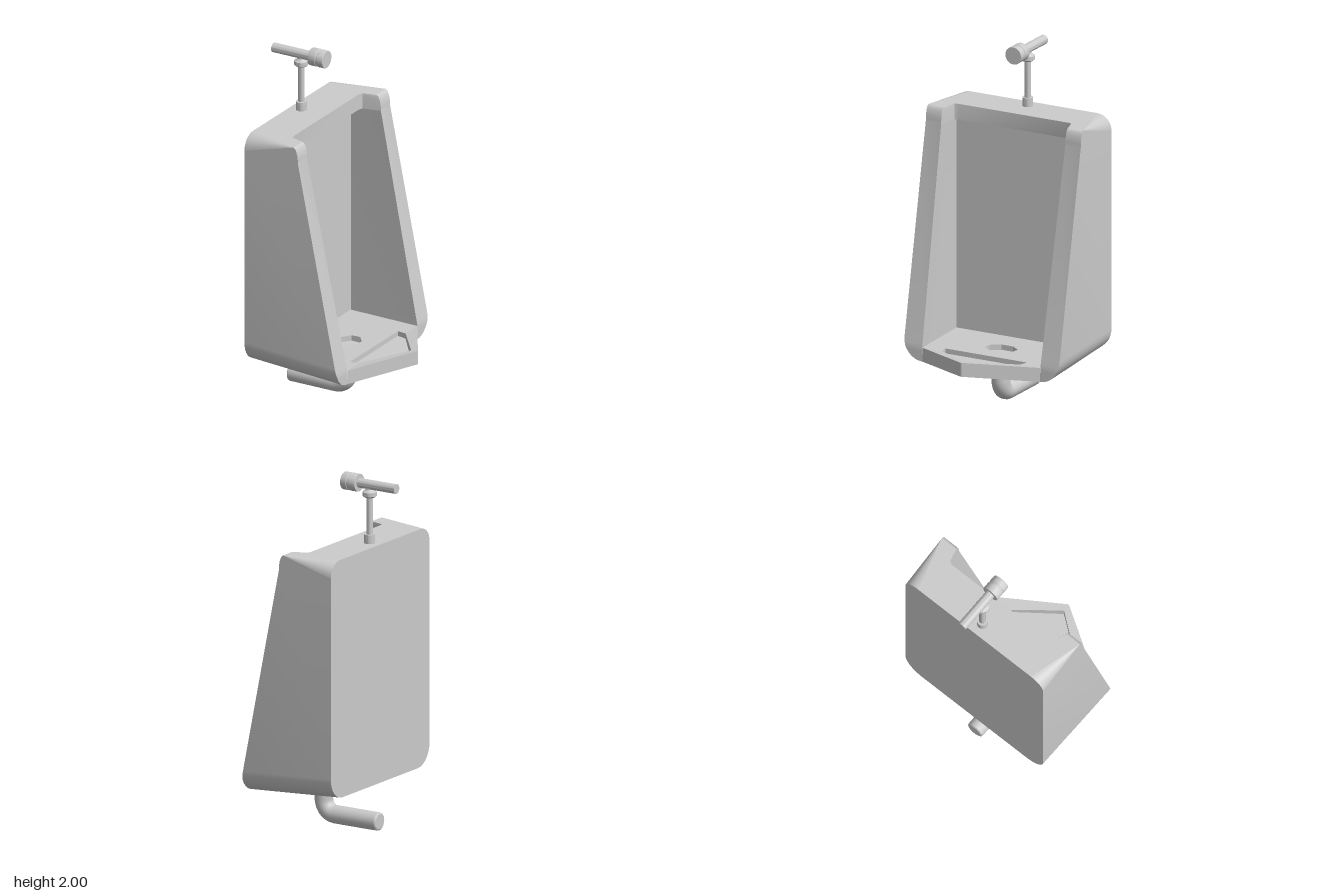
import * as THREE from 'three';
import { toCreasedNormals } from 'three/addons/utils/BufferGeometryUtils.js';

const grey = new THREE.MeshStandardMaterial({ color: 0xcccccc });
const shellGrey = new THREE.MeshStandardMaterial({ color: 0xcccccc, side: THREE.DoubleSide });

function add(group, name, geometry, material = grey) {
  const mesh = new THREE.Mesh(geometry, material);
  mesh.name = name;
  group.add(mesh);
  return mesh;
}

// Surface stretched between two rows of [x, y, z] points
function panel(group, name, a, b) {
  const same = (p, q) => p.every((v, k) => v === q[k]);
  const pos = [];
  for (let i = 0; i < a.length - 1; i++) {
    if (!same(b[i], b[i + 1])) pos.push(...a[i], ...b[i], ...b[i + 1]);
    if (!same(a[i], a[i + 1])) pos.push(...a[i], ...b[i + 1], ...a[i + 1]);
  }
  const g = new THREE.BufferGeometry();
  g.setAttribute('position', new THREE.Float32BufferAttribute(pos, 3));
  add(group, name, toCreasedNormals(g, 0.5), shellGrey);
}

const flip = ([x, y, z]) => [x, y, -z];
const mirrored = (row) => row.map(flip);
// The left side is the right side seen in a mirror, with its winding swapped
function pair(group, name, a, b) {
  panel(group, name + 'Left', a, b);
  panel(group, name + 'Right', mirrored(b), mirrored(a));
}

// Flat outline in x and z, lifted to height(x)
function sheet(group, name, outline, holes, height) {
  const toV = (p) => new THREE.Vector2(p[0], -p[1]);
  const shape = new THREE.Shape(outline.map(toV));
  shape.holes = holes.map((h) => new THREE.Path(h.map(toV)));
  let g = new THREE.ShapeGeometry(shape);
  g.rotateX(-Math.PI / 2);
  const p = g.attributes.position;
  for (let i = 0; i < p.count; i++) p.setY(i, height(p.getX(i)));
  g = g.toNonIndexed();
  g.computeVertexNormals();
  add(group, name, g, shellGrey);
}

const LIP_X = 0.235;
const slopeX = (y) => Math.min(LIP_X, LIP_X - 0.2016 * (y - 0.315));
const innerZ = (y) => 0.37 + 0.02 * Math.min(1, (y - 0.235) / 1.295);
const floorY = (x) => (x < LIP_X ? 0.3 + 0.0333 * (x + 0.215) : 0.315 + 0.151 * (x - LIP_X));

function buildBowl(group) {
  const front = [], back = [], inner = [], cone = [];
  const N = 8;
  // Rounded lower corner
  for (let i = 0; i <= N; i++) {
    const a = (i / N) * Math.PI / 2;
    const y = 0.235 + 0.125 * (1 - Math.cos(a)), z = 0.37 + 0.117 * Math.sin(a);
    front.push([slopeX(y), y, z]);
    back.push([-0.352, y + 0.037, z]);
    inner.push([slopeX(y), y, innerZ(y)]);
  }
  // Rounded top of the front edge, and the upper back corner
  for (let i = 0; i <= N; i++) {
    const a = (i / N) * Math.PI / 2;
    const y = 1.53 + 0.09 * Math.sin(a), x = -0.04 + 0.03 * Math.cos(a);
    front.push([x, y, 0.487]);
    back.push([-0.352, 1.535, 0.487]);
    inner.push([x, y, 0.39]);
    cone.push([-0.352, 1.535 + 0.085 * Math.sin(a), 0.4 + 0.087 * Math.cos(a)]);
  }
  const last = front.length - 1, tip = front[last];
  pair(group, 'outerSide', front, back);
  // Upper corner radius fades to a point at the front
  pair(group, 'upperCorner', cone.map(() => tip), cone);
  pair(group, 'frontEdge', inner, front);
  const rim = [...back.slice(0, N + 1), ...cone];
  panel(group, 'backPanel', rim, mirrored(rim));
  panel(group, 'underside', [back[0], flip(back[0])], [front[0], flip(front[0])]);

  // Top with its notch
  sheet(group, 'topPanel', [
    [-0.352, 0.4], [-0.04, 0.487], [-0.04, 0.39], [-0.115, 0.367], [-0.123, 0.345],
    [-0.123, -0.345], [-0.115, -0.367], [-0.04, -0.39], [-0.04, -0.487], [-0.352, -0.4],
  ], [], () => 1.62);
  const cheek = inner.slice(N + 1);
  const notch = cheek.map(([, y]) => [-0.115, y, 0.367]);
  pair(group, 'notchCheek', notch, cheek);
  const low = [[-0.115, 1.53, 0.367], [-0.123, 1.53, 0.345], [-0.123, 1.53, -0.345], [-0.115, 1.53, -0.367]];
  panel(group, 'notchBack', low, low.map(([x, , z]) => [x, 1.62, z]));

  // Cavity, wider and deeper than its opening, under a level ceiling
  const wall = inner.slice(0, N + 2);
  const rear = wall.map(([, y]) => [-0.215, y > 1 ? 1.53 : 0.295, 0.41]);
  pair(group, 'cavitySide', rear, wall);
  const top = rear[N + 1], bottom = rear[0];
  panel(group, 'cavityBack', [bottom, flip(bottom)], [top, flip(top)]);
  const corner = inner[N + 1];
  panel(group, 'cavityCeiling', [corner, ...low, flip(corner)],
    [top, top, top, flip(top), flip(top), flip(top)]);
}

function buildFloor(group) {
  // Floor, pointed lip, drain opening and shallow recess
  const drain = [];
  for (let i = 0; i < 8; i++) {
    const a = (i + 0.5) * Math.PI / 4;
    drain.push([0.013 + 0.073 * Math.cos(a), 0.095 * Math.sin(a)]);
  }
  const recess = [[0.18, 0.255], [0.235, 0.245], [0.42, 0], [0.235, -0.245], [0.18, -0.255]];
  sheet(group, 'floor', [
    [-0.215, 0.41], [LIP_X, 0.37], [0.46, 0.004], [0.46, -0.004], [LIP_X, -0.37], [-0.215, -0.41],
  ], [drain, recess], floorY);
  const sink = (name, loop, y) => {
    const ring = [...loop, loop[0]];
    panel(group, name + 'Wall', ring.map(([x, z]) => [x, floorY(x), z]), ring.map(([x, z]) => [x, y, z]));
    sheet(group, name + 'Base', loop, [], () => y);
  };
  sink('drain', drain, 0.275);
  sink('recess', recess, 0.285);

  const lipLow = [[LIP_X, 0.235, 0.37], [0.46, 0.269, 0.004], [0.46, 0.269, -0.004], [LIP_X, 0.235, -0.37]];
  const lipHigh = lipLow.map(([x, y, z]) => [x, y + 0.08, z]);
  panel(group, 'lipEdge', lipLow, lipHigh);
  const mid = [LIP_X, 0.235, 0];
  panel(group, 'lipUnderside', lipLow.map(() => mid), lipLow);
}

// Turned part from [radius, height] pairs
function turned(group, name, profile) {
  const g = new THREE.LatheGeometry(profile.map(([r, y]) => new THREE.Vector2(r, y)), 28);
  return add(group, name, toCreasedNormals(g, 0.5));
}

function buildValve(group) {
  const riser = turned(group, 'flushRiser', [
    [0.03, 1.61], [0.03, 1.67], [0.018, 1.67], [0.018, 1.875], [0.03, 1.88], [0.04, 1.888],
    [0.04, 1.91], [0.03, 1.915], [0.022, 1.925], [0.022, 1.95],
  ]);
  riser.position.x = -0.282;
  const valve = turned(group, 'flushValve', [
    [0, -0.46], [0.027, -0.46], [0.027, -0.215], [0.049, -0.215], [0.05, -0.213], [0.05, -0.17],
    [0.047, -0.168], [0.047, -0.159], [0.05, -0.157], [0.05, -0.122], [0.049, -0.12], [0, -0.12],
  ]);
  valve.rotation.z = -Math.PI / 2;
  valve.position.y = 1.95;
}

function buildDrainPipe(group) {
  const v = (x, y) => new THREE.Vector3(x, y, 0);
  const path = new THREE.CurvePath();
  path.add(new THREE.LineCurve3(v(0.018, 0.27), v(0.018, 0.13)));
  path.add(new THREE.CubicBezierCurve3(v(0.018, 0.13), v(0.018, 0.085), v(-0.017, 0.051), v(-0.06, 0.051)));
  path.add(new THREE.LineCurve3(v(-0.06, 0.051), v(-0.34, 0.051)));
  add(group, 'drainPipe', new THREE.TubeGeometry(path, 60, 0.051, 24));
  const end = turned(group, 'drainPipeEnd', [[0.051, 0], [0.049, 0.006], [0.042, 0.01], [0, 0.01]]);
  end.rotation.z = Math.PI / 2;
  end.position.set(-0.34, 0.051, 0);
}

export function createModel() {
  const model = new THREE.Group();
  model.name = 'urinal';
  const parts = { bowl: buildBowl, floorAndLip: buildFloor, flushFitting: buildValve, drain: buildDrainPipe };
  for (const [name, build] of Object.entries(parts)) {
    const group = new THREE.Group();
    group.name = name;
    build(group);
    model.add(group);
  }
  return model;
}
